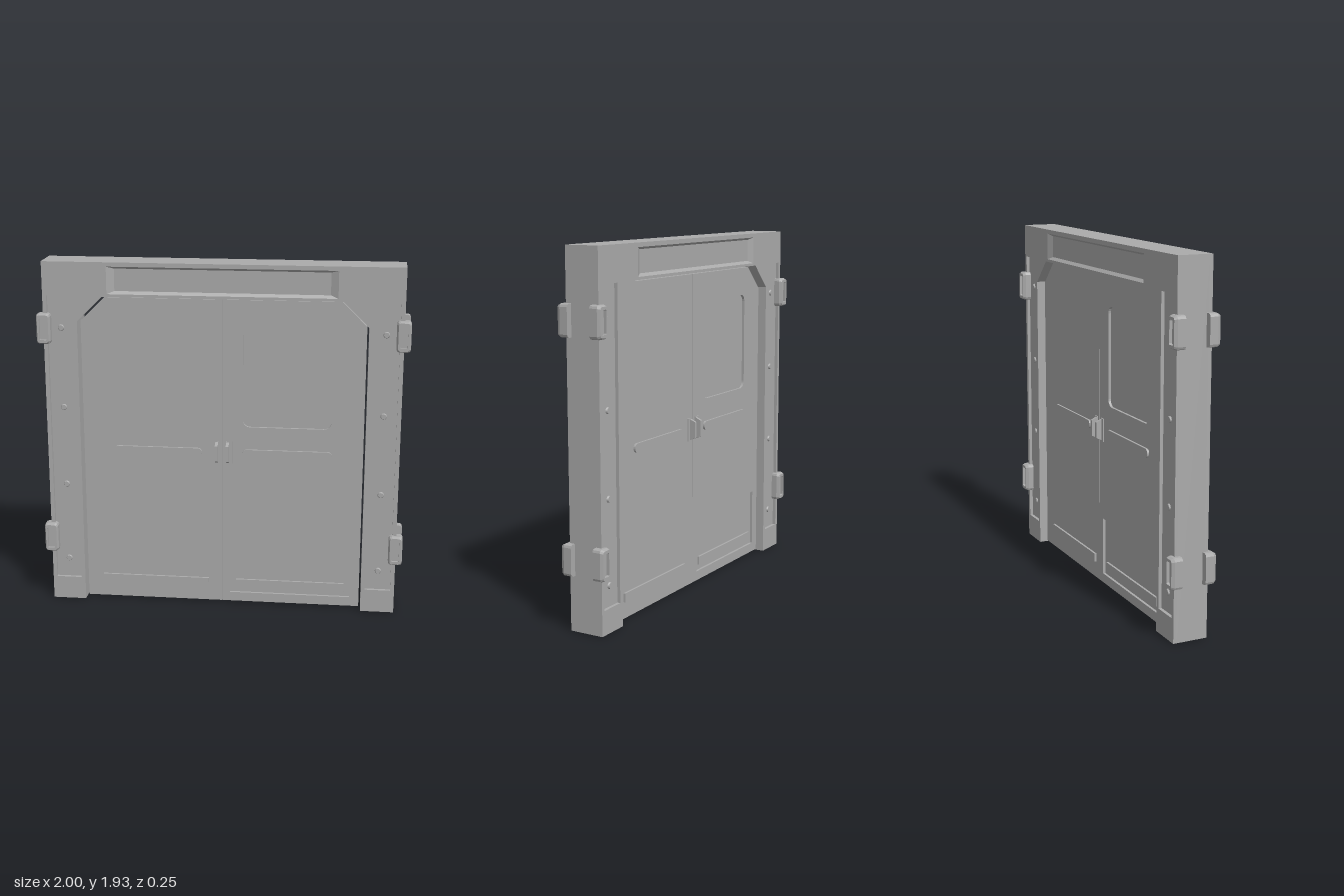
import * as THREE from 'three';

const FRAME_Z = 0.095, FRAME_CUT = 0.018; // frame half depth, recess depth
const DOOR_Z = 0.05, DOOR_CUT = 0.014;

const steel = new THREE.MeshStandardMaterial({ color: 0xaaaaaa });
steel.name = 'grey steel';

// Closed outline from [x, y] points, mirrored in x when s is -1
function outline(points, s = 1) {
  return new THREE.Shape(points.map(([x, y]) => new THREE.Vector2(x * s, y)));
}

// Rectangle with optional rounded corners
function rect(x0, x1, y0, y1, r = 0, s = 1, steps = 5) {
  if (r === 0) return outline([[x0, y0], [x1, y0], [x1, y1], [x0, y1]], s);
  const pts = [];
  const centres = [[x1 - r, y1 - r], [x0 + r, y1 - r], [x0 + r, y0 + r], [x1 - r, y0 + r]];
  centres.forEach(([cx, cy], q) => {
    for (let i = 0; i <= steps; i++) {
      const a = (q + i / steps) * Math.PI / 2;
      pts.push([cx + r * Math.cos(a), cy + r * Math.sin(a)]);
    }
  });
  return outline(pts, s);
}

// Flat plate between two depths, with optional holes
function plate(name, shape, z0, z1, holes = []) {
  const s = shape.clone();
  s.holes = holes;
  const geo = new THREE.ExtrudeGeometry(s, { depth: z1 - z0, bevelEnabled: false });
  geo.translate(0, 0, z0);
  return named(name, geo);
}

function named(name, geo) {
  const mesh = new THREE.Mesh(geo, steel);
  mesh.name = name;
  return mesh;
}

// Sloped band joining two outlines with equal point counts
function slopedBand(name, outer, z0, inner, z1) {
  const a = outer.getPoints(), b = inner.getPoints(), pos = [];
  for (let i = 0; i < a.length; i++) {
    const j = (i + 1) % a.length;
    const p = [a[i].x, a[i].y, z0], q = [a[j].x, a[j].y, z0];
    const u = [b[i].x, b[i].y, z1], v = [b[j].x, b[j].y, z1];
    pos.push(...p, ...q, ...v, ...p, ...v, ...u);
  }
  const geo = new THREE.BufferGeometry();
  geo.setAttribute('position', new THREE.Float32BufferAttribute(pos, 3));
  geo.computeVertexNormals();
  return named(name, geo);
}

const frameShape = () => outline([
  [-0.965, 0], [-0.78, 0], [-0.78, 1.615], [-0.642, 1.75], [0.642, 1.75],
  [0.78, 1.615], [0.78, 0], [0.965, 0], [0.965, 1.935], [-0.965, 1.935],
]);
const doorShape = (s) => outline([
  [0.0015, 0.008], [0.77, 0.008], [0.77, 1.61], [0.637, 1.74], [0.0015, 1.74],
], s);

// Pull handle: thin back plate and a tapered blade standing out from it
function handle(s) {
  const g = new THREE.Group();
  g.name = 'pullHandle';
  g.add(plate('handlePlate', rect(0.02, 0.058, 0.828, 0.955, 0, s), DOOR_Z - 0.002, DOOR_Z + 0.006));
  const profile = outline([[0, 0.83], [0.038, 0.848], [0.038, 0.935], [0, 0.953]]);
  const blade = new THREE.ExtrudeGeometry(profile, { depth: 0.016, bevelEnabled: false });
  blade.rotateY(-Math.PI / 2); // profile depth now runs along +z
  blade.translate(s * 0.03 + 0.008, 0, DOOR_Z);
  g.add(named('handleGrip', blade));
  return g;
}

// Wrap-around corner block with a bevelled rim and a sunken face
function cornerBlock(s, y) {
  const g = new THREE.Group();
  g.name = 'cornerBlock';
  const full = rect(0.924, 1.0, y - 0.083, y + 0.083, 0.016, 1, 2);
  const rim = rect(0.932, 0.992, y - 0.075, y + 0.075, 0.012, 1, 2);
  const inner = () => rect(0.943, 0.982, y - 0.06, y + 0.06, 0.005, 1, 2);
  g.add(plate('blockBody', full, 0.065, 0.109));
  g.add(slopedBand('blockBevel', full, 0.109, rim, 0.125));
  g.add(plate('blockRim', rim, 0.107, 0.125, [inner()]));
  if (s < 0) g.position.x = -1.924; // the outline is symmetric, so shift it across
  return g;
}

// Everything seen on one face of the doorway
function faceDetails() {
  const g = new THREE.Group();
  g.name = 'doorwayFace';

  // Frame skin with the header and jamb recesses
  const sign = rect(-0.615, 0.615, 1.765, 1.912);
  const jambs = [1, -1].map((s) => rect(0.802, 0.943, 0.13, 1.75, 0, s));
  g.add(plate('frameFace', frameShape(), FRAME_Z - FRAME_CUT, FRAME_Z, [sign, ...jambs]));
  g.add(slopedBand('headerBevel', sign, FRAME_Z,
    rect(-0.575, 0.575, 1.78, 1.9), FRAME_Z - FRAME_CUT + 0.001));

  for (const s of [1, -1]) {
    // Door skin with window and kick panel recesses
    const window = rect(0.112, 0.594, 1.038, 1.585, 0.04, s);
    const kick = rect(0.043, 0.717, 0.06, 0.382, 0, s);
    const floor = DOOR_Z - DOOR_CUT;
    g.add(plate('doorFace', doorShape(s), floor, DOOR_Z, [window, kick]));
    g.add(plate('kickBar', rect(0.078, 0.684, 0.09, 0.138, 0, s), floor, floor + 0.012));
    g.add(plate('pushBar', rect(0.112, 0.6, 0.864, 0.912, 0.022, s), DOOR_Z - 0.002, DOOR_Z + 0.012));
    g.add(handle(s));

    // Jamb rivets
    for (let i = 0; i < 4; i++) {
      const geo = new THREE.CylinderGeometry(0.014, 0.018, 0.008, 12);
      geo.rotateX(Math.PI / 2);
      const rivet = named('jambRivet', geo);
      rivet.position.set(s * 0.872, 0.24 + i * 0.445, FRAME_Z - FRAME_CUT + 0.004);
      g.add(rivet);
    }
    for (const y of [0.375, 1.573]) g.add(cornerBlock(s, y));
  }
  return g;
}

export function createModel() {
  const model = new THREE.Group();
  model.name = 'doubleDoor';

  // Solid cores of the frame and both doors
  model.add(plate('frameCore', frameShape(), -FRAME_Z + FRAME_CUT, FRAME_Z - FRAME_CUT));
  for (const s of [1, -1]) {
    model.add(plate('doorCore', doorShape(s), -DOOR_Z + DOOR_CUT, DOOR_Z - DOOR_CUT));
  }

  // The same details on front and back
  const front = faceDetails();
  const back = front.clone();
  back.rotation.y = Math.PI;
  model.add(front, back);
  return model;
}
